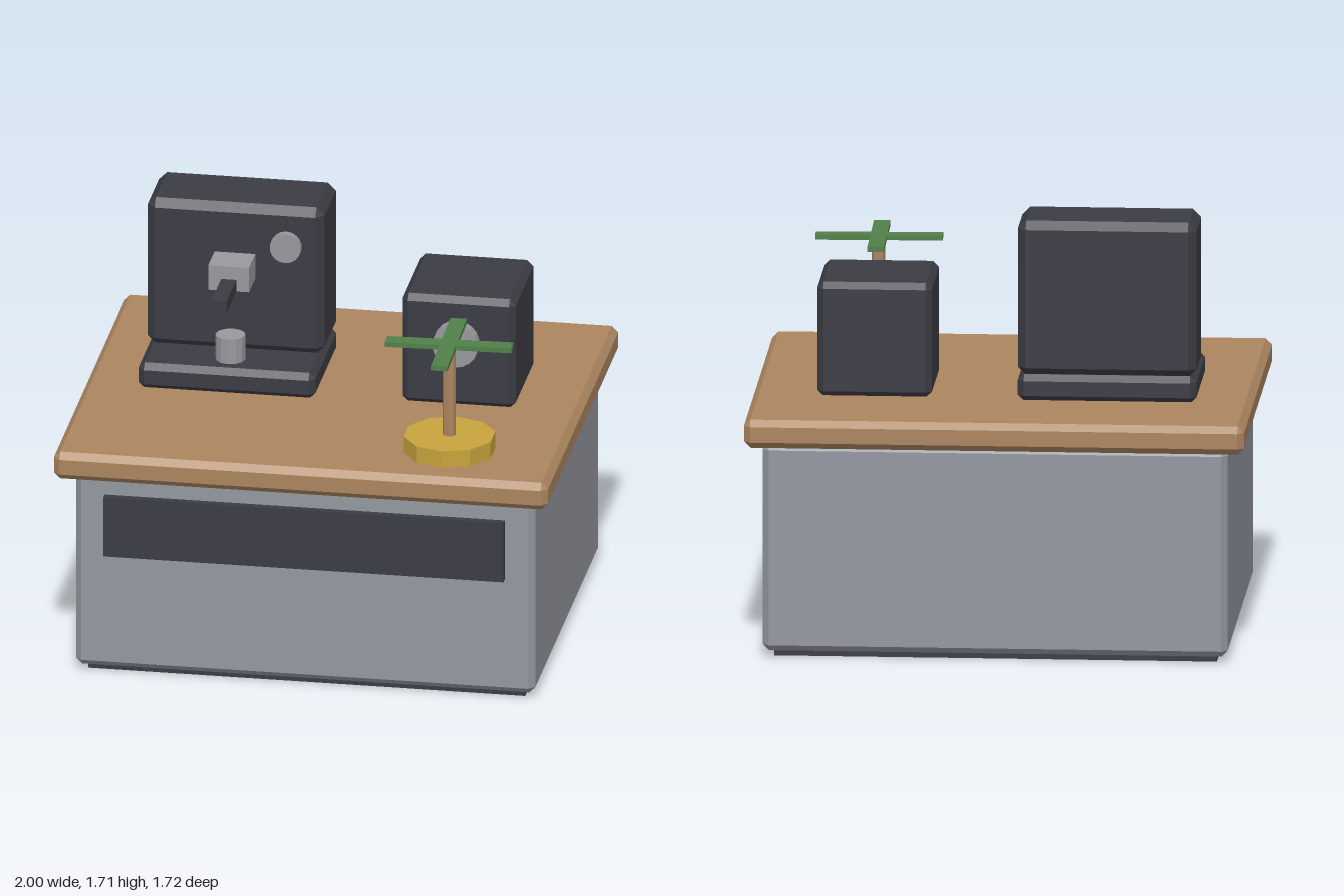
import * as THREE from 'three';
import { ConvexGeometry } from 'three/addons/geometries/ConvexGeometry.js';

const flat = (name, color) => {
  const m = new THREE.MeshStandardMaterial({ color });
  m.name = name;
  return m;
};

// Box spanning the given ranges, with every edge cut by a single flat bevel
function bevelBox([x0, x1], [y0, y1], [z0, z1], b) {
  const h = [(x1 - x0) / 2, (y1 - y0) / 2, (z1 - z0) / 2];
  const pts = [];
  for (const sx of [-1, 1]) for (const sy of [-1, 1]) for (const sz of [-1, 1])
    for (let k = 0; k < 3; k++) {
      const c = h.map((v, i) => (i === k ? v : v - b));
      pts.push(new THREE.Vector3(
        sx * c[0] + (x0 + x1) / 2, sy * c[1] + (y0 + y1) / 2, sz * c[2] + (z0 + z1) / 2));
    }
  return new ConvexGeometry(pts);
}

// Plain box spanning the given ranges
function box([x0, x1], [y0, y1], [z0, z1]) {
  return new THREE.BoxGeometry(x1 - x0, y1 - y0, z1 - z0)
    .translate((x0 + x1) / 2, (y0 + y1) / 2, (z0 + z1) / 2);
}

// Faceted cylinder standing upright, or facing the front
function cylinder(r, h, sides, [x, y, z], facing = false) {
  const g = new THREE.CylinderGeometry(r, r, h, sides).toNonIndexed();
  g.computeVertexNormals();
  if (facing) g.rotateX(Math.PI / 2);
  return g.translate(x, y, z);
}

export function createModel() {
  const wood = flat('wood', 0xab855f);
  const cabinetGrey = flat('cabinet grey', 0x9397a0);
  const charcoal = flat('charcoal', 0x3b3b44);
  const steel = flat('steel', 0x97999c);
  const gold = flat('gold', 0xc8a43c);
  const green = flat('leaf green', 0x508048);

  const model = new THREE.Group();
  model.name = 'coffeeCounter';
  const group = (name) => {
    const g = new THREE.Group();
    g.name = name;
    model.add(g);
    return g;
  };
  const add = (parent, name, geometry, material) => {
    const mesh = new THREE.Mesh(geometry, material);
    mesh.name = name;
    parent.add(mesh);
    return mesh;
  };

  // Counter
  const counter = group('counter');
  add(counter, 'plinth', box([-0.885, 0.885], [0, 0.06], [-0.745, 0.7]), charcoal);
  add(counter, 'cabinet', bevelBox([-0.93, 0.93], [0.025, 0.87], [-0.79, 0.745], 0.025), cabinetGrey);
  add(counter, 'frontPanel', box([-0.81, 0.81], [0.515, 0.77], [0.735, 0.775]), charcoal);
  add(counter, 'worktop', bevelBox([-1, 1], [0.865, 0.98], [-0.86, 0.86], 0.026), wood);

  // Espresso machine
  const machine = group('espressoMachine');
  const wide = [-0.78, -0.065];
  add(machine, 'machineBase', bevelBox(wide, [0.975, 1.085], [-0.41, 0.13], 0.025), charcoal);
  add(machine, 'machineBody', bevelBox(wide, [1.08, 1.71], [-0.41, -0.08], 0.033), charcoal);
  add(machine, 'brewHead', box([-0.505, -0.34], [1.4, 1.505], [-0.1, 0.068]), steel);
  add(machine, 'handle', box([-0.453, -0.392], [1.398, 1.45], [0.02, 0.298]), charcoal);
  add(machine, 'gauge', cylinder(0.063, 0.04, 18, [-0.215, 1.548, -0.073], true), steel);
  add(machine, 'cup', cylinder(0.06, 0.11, 12, [-0.425, 1.135, 0.01]), steel);

  // Grinder
  const grinder = group('grinder');
  add(grinder, 'grinderBody', bevelBox([0.28, 0.74], [0.975, 1.443], [-0.375, 0.092], 0.025), charcoal);
  add(grinder, 'dial', cylinder(0.092, 0.048, 18, [0.508, 1.26, 0.128], true), steel);

  // Small plant
  const plant = group('plant');
  add(plant, 'pot', cylinder(0.185, 0.075, 10, [0.555, 1.0125, 0.56]), gold);
  add(plant, 'stem', cylinder(0.027, 0.39, 8, [0.555, 1.235, 0.56]), wood);
  for (const angle of [0.034, Math.PI / 2 + 0.016]) {
    const leaf = add(plant, 'leaf', new THREE.BoxGeometry(0.51, 0.02, 0.066), green);
    leaf.position.set(0.553, 1.435, 0.558);
    leaf.rotation.y = angle;
  }
  return model;
}
